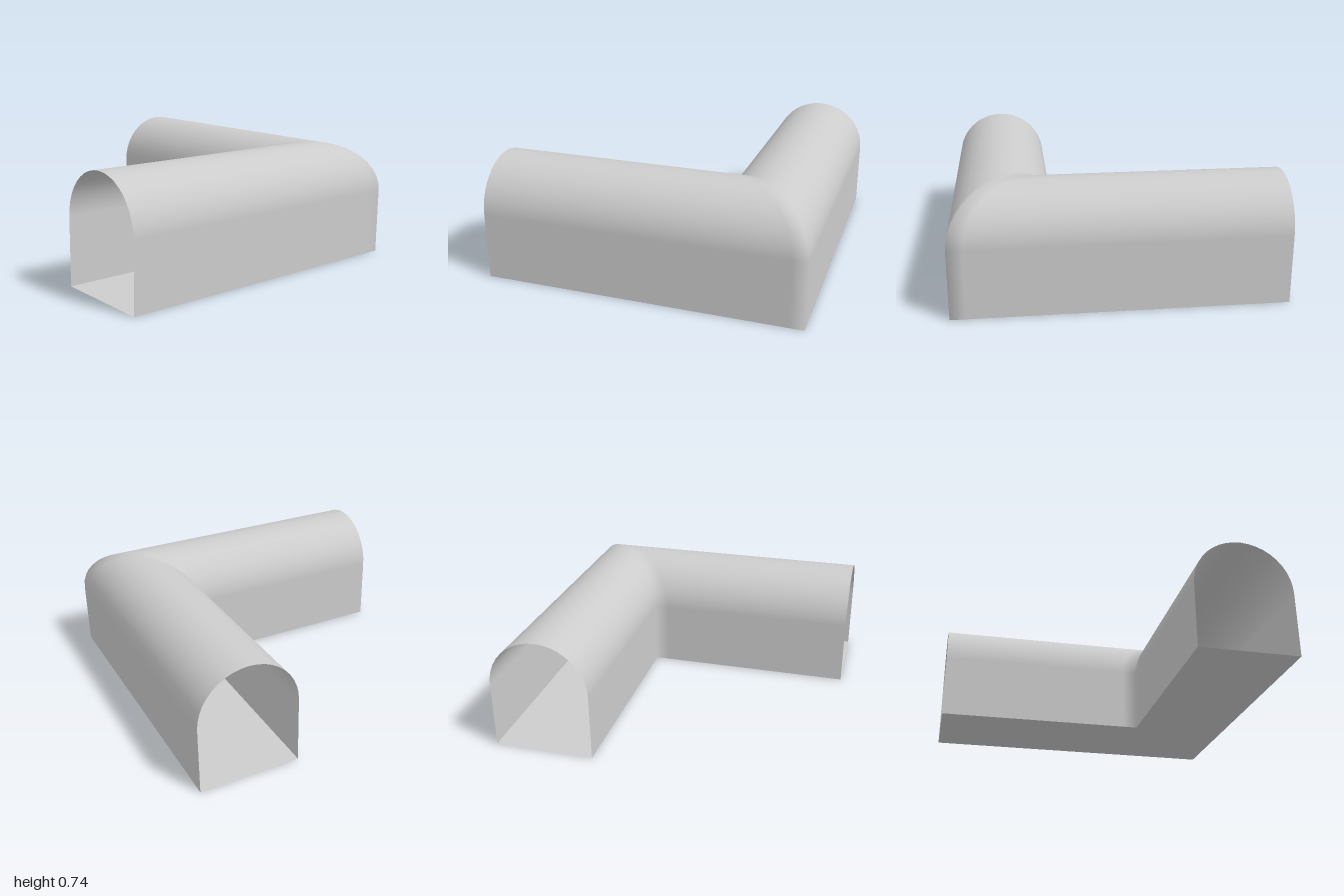
import * as THREE from 'three';

const INNER = 0.37, OUTER = 1, SPRING = 0.42, BLEND = 0.09, SEGMENTS = 20;

// Cross-section from the inner wall foot, over the arch, to the outer wall foot
function archProfile() {
  const radius = (OUTER - INNER) / 2, middle = (OUTER + INNER) / 2;
  const points = [{ u: INNER, y: 0, nu: -1, ny: 0 }];
  for (let i = 0; i <= SEGMENTS; i++) {
    const a = Math.PI * (1 - i / SEGMENTS);
    const nu = Math.cos(a), ny = Math.sin(a);
    points.push({ u: middle + radius * nu, y: SPRING + radius * ny, nu, ny });
  }
  points.push({ u: OUTER, y: 0, nu: 1, ny: 0 });
  return points;
}

// Sweep the arch along one leg, around the mitred corner and along the other
function shellGeometry() {
  const profile = archProfile();
  const rings = [
    { place: u => [-1, u], turn: 0 },
    { place: u => [u - BLEND, u], turn: 0 },
    { place: u => [u, u], turn: Math.PI / 4 },
    { place: u => [u, u - BLEND], turn: Math.PI / 2 },
    { place: u => [u, -1], turn: Math.PI / 2 },
  ];
  const positions = [], normals = [], index = [];
  rings.forEach(({ place, turn }, r) => {
    profile.forEach(({ u, y, nu, ny }, p) => {
      const [x, z] = place(u);
      positions.push(x, y, z);
      normals.push(nu * Math.sin(turn), ny, nu * Math.cos(turn));
      if (r < rings.length - 1 && p < profile.length - 1) {
        const a = r * profile.length + p, c = a + profile.length;
        index.push(a, a + 1, c, a + 1, c + 1, c);
      }
    });
  });
  const geometry = new THREE.BufferGeometry();
  geometry.setAttribute('position', new THREE.Float32BufferAttribute(positions, 3));
  geometry.setAttribute('normal', new THREE.Float32BufferAttribute(normals, 3));
  geometry.setIndex(index);
  return geometry;
}

// Flat L-shaped floor, drawn in x and -z and turned to face down
function floorGeometry() {
  const shape = new THREE.Shape([
    [-1, INNER], [INNER, INNER], [INNER, -1], [OUTER, -1], [OUTER, OUTER], [-1, OUTER],
  ].map(([x, z]) => new THREE.Vector2(x, z)));
  return new THREE.ShapeGeometry(shape).rotateX(Math.PI / 2);
}

export function createModel() {
  const grey = new THREE.MeshStandardMaterial({ color: 0xcccccc, side: THREE.DoubleSide });
  grey.name = 'light grey';
  const group = new THREE.Group();
  group.name = 'cornerTunnel';
  const add = (name, geometry) => {
    const mesh = new THREE.Mesh(geometry, grey);
    mesh.name = name;
    group.add(mesh);
  };
  add('archedShell', shellGeometry());
  add('floor', floorGeometry());
  return group;
}
